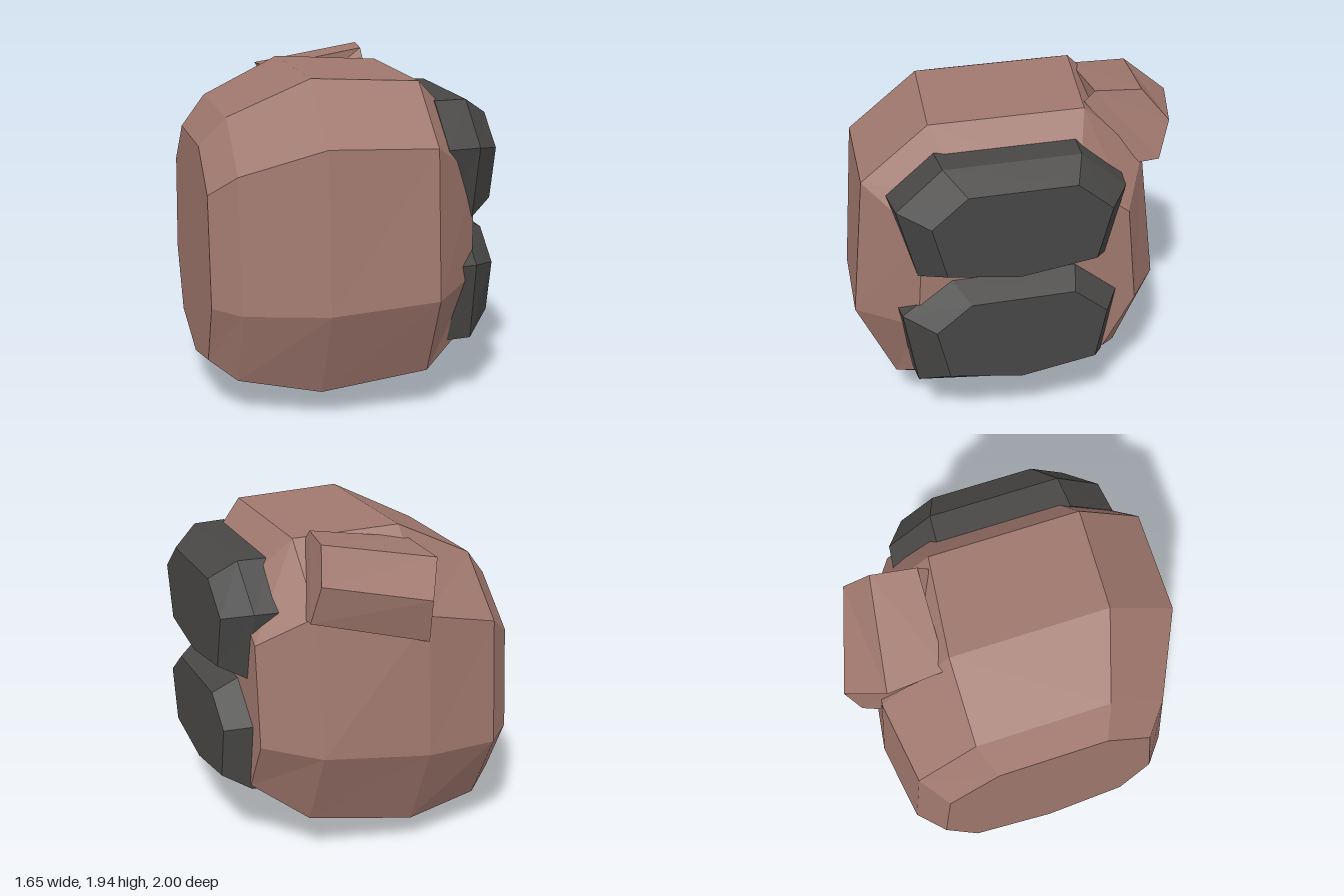
import * as THREE from 'three';

const skin = new THREE.MeshStandardMaterial({ color: 0xa0786e, flatShading: true });
skin.name = 'brown skin';
const black = new THREE.MeshStandardMaterial({ color: 0x484746, flatShading: true });
black.name = 'black pad';

// Faceted solid through rings running from -x to +x; each ring is [x, y, z] points
function loft(name, rings, material) {
  const pos = [];
  const tri = (a, b, c) => pos.push(...a, ...b, ...c);
  const n = rings[0].length;
  for (let r = 0; r < rings.length - 1; r++) {
    const A = rings[r], B = rings[r + 1];
    for (let i = 0; i < n; i++) {
      const j = (i + 1) % n;
      tri(A[i], B[i], B[j]);
      tri(A[i], B[j], A[j]);
    }
  }
  const first = rings[0], last = rings[rings.length - 1];
  for (let i = 1; i < n - 1; i++) {
    tri(first[0], first[i], first[i + 1]);
    tri(last[0], last[i + 1], last[i]);
  }
  const geo = new THREE.BufferGeometry();
  geo.setAttribute('position', new THREE.Float32BufferAttribute(pos, 3));
  geo.computeVertexNormals();
  const mesh = new THREE.Mesh(geo, material);
  mesh.name = name;
  return mesh;
}

// Ring at one x from [z, y] pairs
const ring = (x, pts) => pts.map(([z, y]) => [x, y, z]);

export function createModel() {
  const group = new THREE.Group();
  group.name = 'fist';

  // Palm: nine-sided rounded block
  group.add(loft('palm', [
    ring(-0.83, [[0.30, 1.52], [-0.33, 1.52], [-0.62, 1.26], [-0.67, 0.67], [-0.48, 0.31], [0, 0.20], [0.47, 0.31], [0.63, 0.67], [0.57, 1.30]]),
    ring(-0.68, [[0.36, 1.69], [-0.41, 1.69], [-0.75, 1.38], [-0.81, 0.65], [-0.58, 0.21], [0.01, 0.07], [0.58, 0.21], [0.75, 0.65], [0.69, 1.42]]),
    ring(-0.23, [[0.50, 1.91], [-0.41, 1.91], [-0.82, 1.50], [-0.88, 0.68], [-0.65, 0.16], [0.04, 0], [0.74, 0.16], [0.97, 0.68], [0.90, 1.59]]),
    ring(0.38, [[0.54, 1.88], [-0.34, 1.88], [-0.69, 1.54], [-0.79, 0.73], [-0.57, 0.25], [0.08, 0.10], [0.78, 0.25], [1.0, 0.73], [0.92, 1.57]]),
    ring(0.68, [[0.38, 1.59], [-0.24, 1.59], [-0.53, 1.36], [-0.59, 0.77], [-0.41, 0.45], [0.10, 0.36], [0.60, 0.45], [0.68, 0.77], [0.64, 1.36]]),
  ], skin));

  // Two bevelled finger pads on the knuckle side
  const pads = [
    ['upperFingerPad',
      [[0.53, 1.76], [-0.26, 1.76], [-0.53, 1.53], [-0.42, 1.11], [0.13, 1.04], [0.69, 1.11], [0.80, 1.53]],
      [[0.41, 1.66], [-0.19, 1.66], [-0.39, 1.49], [-0.31, 1.18], [0.12, 1.12], [0.53, 1.18], [0.61, 1.49]]],
    ['lowerFingerPad',
      [[0.50, 1.06], [-0.24, 1.06], [-0.50, 0.85], [-0.42, 0.42], [0.12, 0.315], [0.71, 0.39], [0.79, 0.85]],
      [[0.40, 0.97], [-0.19, 0.97], [-0.38, 0.81], [-0.32, 0.50], [0.11, 0.43], [0.53, 0.50], [0.60, 0.81]]],
  ];
  for (const [name, rim, face] of pads) {
    const front = rim.map(([z, y]) => [0.13 + (z - 0.13) * 0.965, y]);
    group.add(loft(name, [ring(0.48, rim), ring(0.67, front), ring(0.825, face)], black));
  }

  // Thumb: slanted six-sided block over the upper back edge
  group.add(loft('thumb', [
    [[-0.27, 1.84, -0.44], [-0.29, 1.82, -0.78], [-0.16, 1.66, -1.0], [-0.18, 1.40, -0.93], [-0.22, 1.34, -0.78], [-0.25, 1.5, -0.45]],
    [[0.31, 1.94, -0.42], [0.35, 1.94, -0.68], [0.41, 1.76, -0.83], [0.45, 1.54, -0.77], [0.43, 1.52, -0.66], [0.31, 1.88, -0.36]],
  ], skin));

  return group;
}
